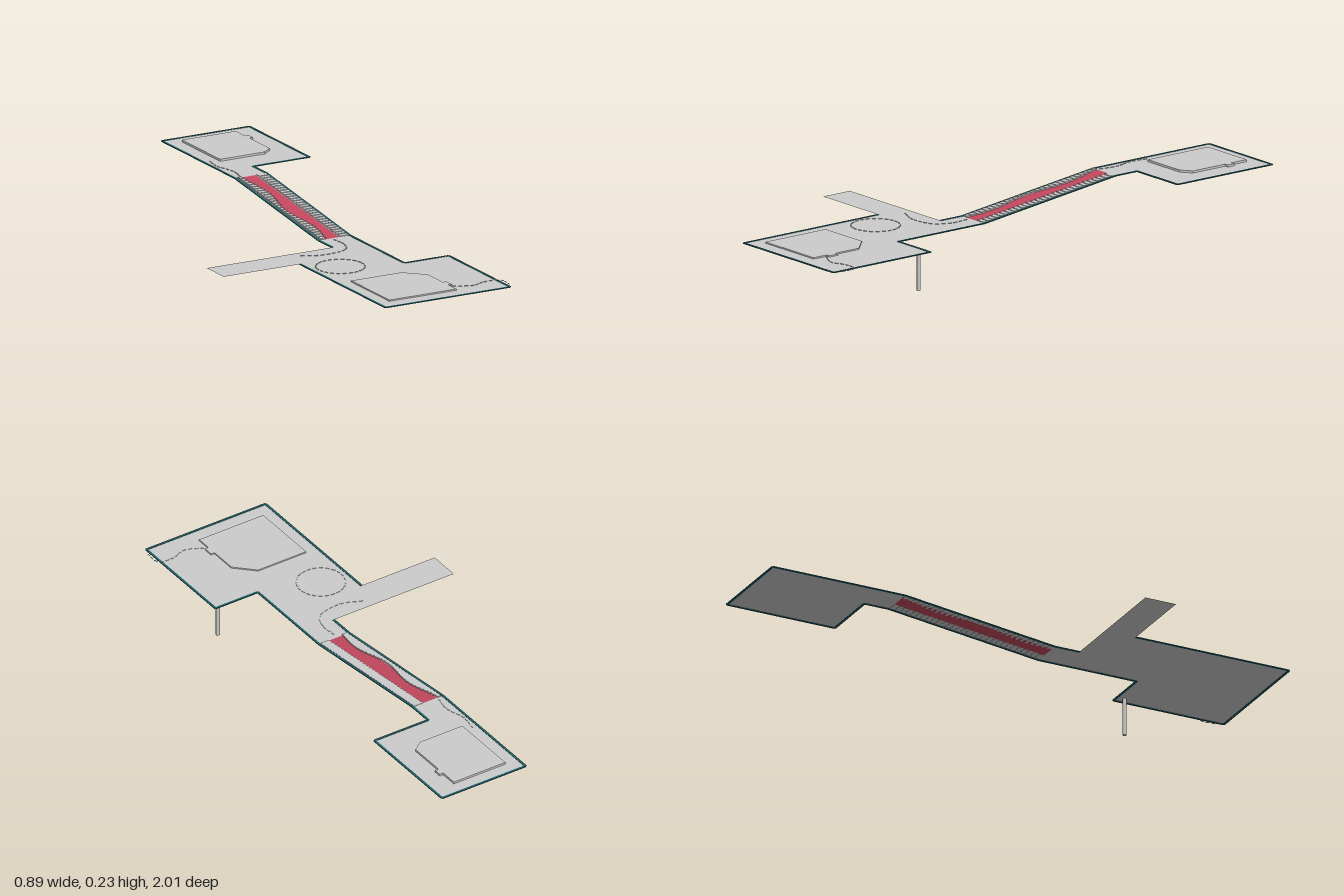
import * as THREE from 'three';

const LOW = 0.145, HIGH = 0.22, Z0 = 0.15, Z1 = -0.46;
const rampY = z => LOW + (HIGH - LOW) * THREE.MathUtils.clamp((Z0 - z) / (Z0 - Z1), 0, 1);

const grey = new THREE.MeshStandardMaterial({ color: 0xcccccc, side: THREE.DoubleSide });
const red = new THREE.MeshStandardMaterial({ color: 0xc4485f, side: THREE.DoubleSide });
const teal = new THREE.MeshStandardMaterial({ color: 0x1f6068 });

export function createModel() {
  const root = new THREE.Group();
  root.name = 'steppedWalkway';

  const add = (name, geo, mat = grey, parent = root) => {
    const m = new THREE.Mesh(geo, mat);
    m.name = name;
    parent.add(m);
    return m;
  };
  const group = name => {
    const g = new THREE.Group();
    g.name = name;
    root.add(g);
    return g;
  };
  // Plan outline given as [x, z] pairs
  const plan = pts => new THREE.Shape(pts.map(([x, z]) => new THREE.Vector2(x, -z)));
  const sheet = (name, pts, y) =>
    add(name, new THREE.ShapeGeometry(plan(pts)).rotateX(-Math.PI / 2)).position.y = y;
  const slab = (name, pts, y, h) =>
    add(name, new THREE.ExtrudeGeometry(plan(pts), { depth: h, bevelEnabled: false })
      .rotateX(-Math.PI / 2)).position.y = y;
  // Thin bar between two points
  const bar = (name, a, b, w, h, mat, parent) => {
    const m = add(name, new THREE.BoxGeometry(w, h, a.distanceTo(b)), mat, parent);
    m.position.copy(a).lerp(b, 0.5);
    m.lookAt(b);
  };

  // Flat decks
  sheet('lowerDeck', [[-0.13, 1], [0.39, 1], [0.39, 0.55], [0.205, 0.55], [0.205, Z0],
    [0.075, Z0], [0.075, 0.25], [-0.45, 0.25], [-0.45, 0.375], [-0.13, 0.375]], LOW);
  sheet('upperDeck', [[0.075, -1], [0.44, -1], [0.44, -0.56], [0.205, -0.56],
    [0.205, Z1], [0.075, Z1]], HIGH);

  // Sloping ramp in three strips, the middle one coloured
  const strip = (name, x0, x1, mat) => {
    const len = Math.hypot(Z0 - Z1, HIGH - LOW);
    const m = add(name, new THREE.PlaneGeometry(x1 - x0, len).rotateX(-Math.PI / 2), mat);
    m.position.set((x0 + x1) / 2, (LOW + HIGH) / 2, (Z0 + Z1) / 2);
    m.rotation.x = Math.atan2(HIGH - LOW, Z0 - Z1);
  };
  strip('rampRightSide', 0.075, 0.1, grey);
  strip('rampRunner', 0.1, 0.16, red);
  strip('rampLeftSide', 0.16, 0.205, grey);

  // Shallow steps either side of the runner; one flight has a wavy inner edge
  const wave = z => 0.108 - 0.011 * Math.cos(2 * Math.PI * (z + 0.13) / 0.34);
  const steps = group('steps'), N = 30, run = (Z0 - Z1) / N;
  for (let i = 0; i < N; i++) {
    const z = Z0 - (i + 0.5) * run, y = rampY(z);
    for (const [x0, x1, h] of [[0.083, wave(z), 0.005], [0.163, 0.2, 0.0025]]) {
      add('step', new THREE.BoxGeometry(x1 - x0, h, run), grey, steps)
        .position.set((x0 + x1) / 2, y + h / 2, z);
    }
  }

  // Edge trim following the decks and the ramp
  const trim = group('edgeTrim');
  const trims = [
    [[0.075, 0.25], [0.075, Z0], [0.075, Z1], [0.075, -1], [0.44, -1], [0.44, -0.56],
      [0.205, -0.56], [0.205, Z1], [0.205, Z0], [0.205, 0.55], [0.39, 0.55], [0.39, 1],
      [-0.13, 1], [-0.13, 0.375]],
  ];
  for (const line of trims) {
    const p = line.map(([x, z]) => new THREE.Vector3(x, rampY(z), z));
    for (let i = 1; i < p.length; i++) bar('trim', p[i - 1], p[i], 0.009, 0.003, teal, trim);
  }

  // Raised pads with clipped corners
  slab('lowerPad', [[-0.08, 0.94], [0.2, 0.94], [0.2, 0.88], [0.215, 0.88], [0.215, 0.84],
    [0.2, 0.84], [0.2, 0.73], [0.13, 0.66], [-0.08, 0.66]], LOW, 0.005);
  slab('upperPad', [[0.13, -0.95], [0.355, -0.95], [0.355, -0.88], [0.37, -0.88],
    [0.37, -0.85], [0.355, -0.85], [0.355, -0.7], [0.315, -0.67], [0.13, -0.67]], HIGH + 0.001, 0.008);

  // Dashed guide lines on the decks
  const guides = group('guideLines');
  const dashes = (pts, n, closed = false) => {
    const c = new THREE.CatmullRomCurve3(
      pts.map(([x, z]) => new THREE.Vector3(x, rampY(z) + 0.0015, z)), closed);
    for (let i = 0; i < n; i++) {
      bar('dash', c.getPointAt(i / n), c.getPointAt((i + 0.6) / n), 0.003, 0.002, grey, guides);
    }
  };
  const ring = Array.from({ length: 12 }, (_, i) => {
    const a = i * Math.PI / 6;
    return [-0.02 + 0.09 * Math.cos(a), 0.475 + 0.09 * Math.sin(a)];
  });
  dashes(ring, 24, true);
  dashes([[-0.08, 0.29], [0, 0.32], [0.1, 0.3], [0.13, 0.24], [0.125, 0.16]], 14);
  dashes([[0.21, 0.89], [0.28, 0.92], [0.34, 0.9], [0.4, 0.91], [0.403, 0.98]], 12);
  dashes([[0.1, -0.47], [0.11, -0.54], [0.09, -0.62], [0.1, -0.7]], 10);

  // Support post
  add('supportPost', new THREE.CylinderGeometry(0.0075, 0.0075, LOW, 8))
    .position.set(0.36, LOW / 2, 0.58);

  return root;
}
